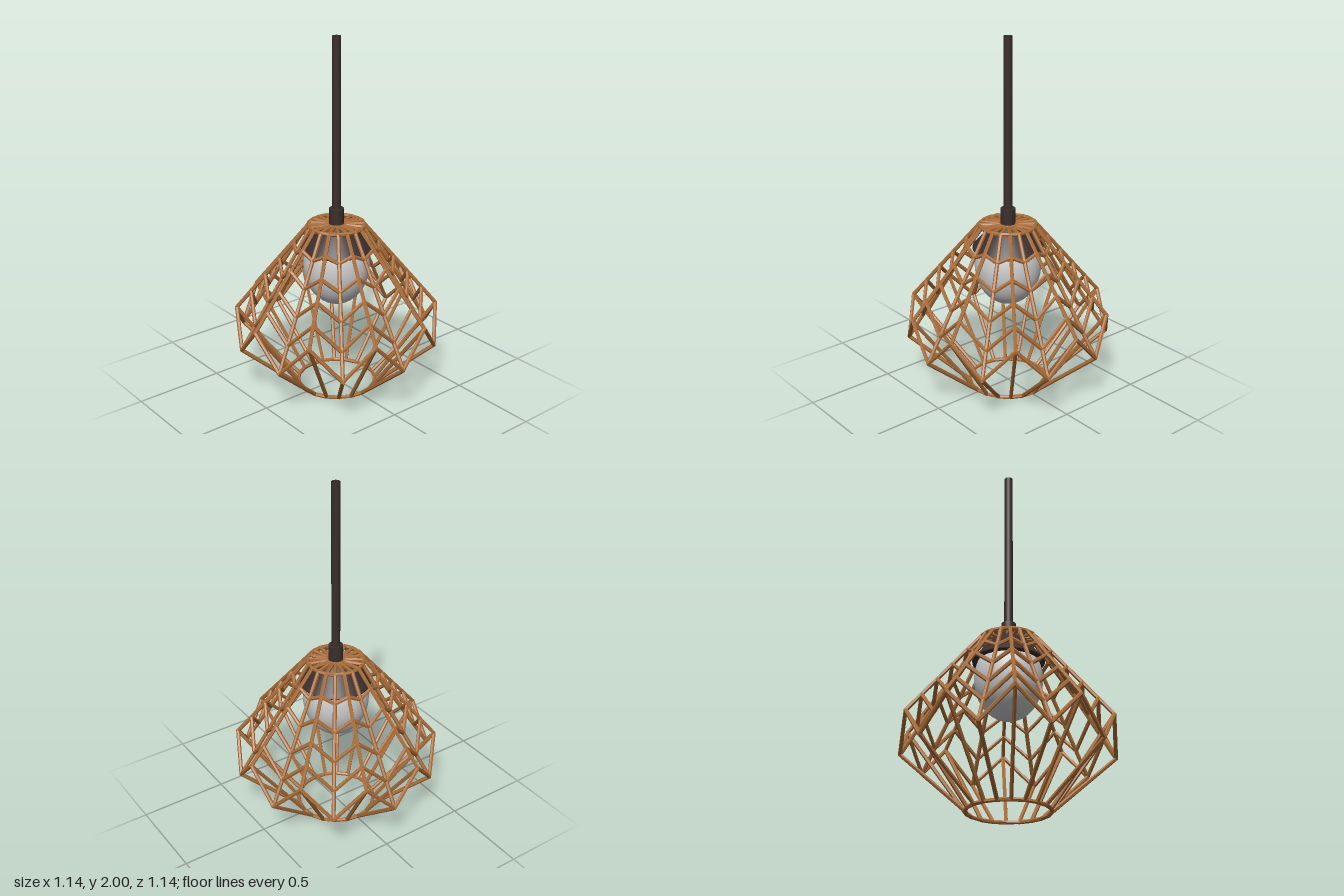
import * as THREE from 'three';
import { mergeGeometries } from 'three/addons/utils/BufferGeometryUtils.js';

const SIDES = 20, TIERS = 5, WIRE = 0.011;
const TOP_Y = 0.964, TOP_R = 0.155, WIDE_R = 0.56;

const wood = new THREE.MeshStandardMaterial({ color: 0xa86c38, flatShading: true });
const dark = new THREE.MeshStandardMaterial({ color: 0x3a2e2c, side: THREE.DoubleSide });
const grey = new THREE.MeshStandardMaterial({ color: 0xcccccc });

// Straight rod between two points, slightly overlapping at the joints
function rod(a, b) {
  const dir = b.clone().sub(a);
  const geo = new THREE.CylinderGeometry(WIRE, WIRE, dir.length() + WIRE * 0.6, 6);
  geo.applyQuaternion(new THREE.Quaternion().setFromUnitVectors(
    new THREE.Vector3(0, 1, 0), dir.normalize()));
  const mid = a.clone().add(b).multiplyScalar(0.5);
  return geo.translate(mid.x, mid.y, mid.z);
}

// Point on spoke i at a given radius and height
function spokePoint(i, r, y) {
  const a = (i % SIDES) / SIDES * Math.PI * 2;
  return new THREE.Vector3(r * Math.cos(a), y, r * Math.sin(a));
}

// Upper cage: even spokes end high, odd spokes end low, giving zigzag rings
function tierPoint(i, k) {
  const t = k / TIERS;
  const low = i % 2 ? 0.30 : 0.48;
  return spokePoint(i, TOP_R + (WIDE_R - TOP_R) * t, TOP_Y + (low - TOP_Y) * t);
}

const basePoint = i => spokePoint(i, 0.222, WIRE);
const hubPoint = i => spokePoint(i, 0.048, TOP_Y);

function ring(point) {
  return Array.from({ length: SIDES }, (_, i) => rod(point(i), point(i + 1)));
}

function createModel() {
  const model = new THREE.Group();
  model.name = 'pendantLamp';
  const add = (name, geo, material, parent = model) => {
    const mesh = new THREE.Mesh(geo, material);
    mesh.name = name;
    parent.add(mesh);
    return mesh;
  };
  const lathe = pts => new THREE.LatheGeometry(pts.map(p => new THREE.Vector2(...p)), 40);

  // Wooden cage
  const cage = new THREE.Group();
  cage.name = 'cage';
  model.add(cage);
  const top = [], upper = [], lower = [];
  for (let i = 0; i < SIDES; i++) {
    top.push(rod(hubPoint(i), tierPoint(i, 0)));
    upper.push(rod(tierPoint(i, 0), tierPoint(i, TIERS)));
    lower.push(rod(tierPoint(i, TIERS), basePoint(i)));
  }
  add('topSpokes', mergeGeometries(top), wood, cage);
  add('upperSpokes', mergeGeometries(upper), wood, cage);
  add('lowerSpokes', mergeGeometries(lower), wood, cage);
  add('hubRing', mergeGeometries(ring(hubPoint)), wood, cage);
  add('baseRing', mergeGeometries(ring(basePoint)), wood, cage);
  for (let k = 0; k <= TIERS; k++) {
    add(k ? 'zigzagRing' + k : 'topRing', mergeGeometries(ring(i => tierPoint(i, k))), wood, cage);
  }

  // Hollow hanging stem and its collar
  const stem = add('stem', new THREE.CylinderGeometry(0.024, 0.024, 0.95, 24, 1, true), dark);
  stem.position.y = 1.525;
  const profile = [[0.04, 0.94], [0.04, 1.06]];
  add('collar', lathe(profile), dark);
  add('collarCap', lathe([[0.04, 1.06], [0.023, 1.06]]), dark);

  // Conical shade over the bulb
  add('shade', lathe([[0.04, 0.962], [0.088, 0.958], [0.196, 0.838], [0.196, 0.828], [0.165, 0.828]]), dark);

  // Egg-shaped bulb
  const bulb = add('bulb', new THREE.SphereGeometry(1, 40, 28), grey);
  bulb.scale.set(0.185, 0.228, 0.185);
  bulb.position.y = 0.728;

  return model;
}

export { createModel };
